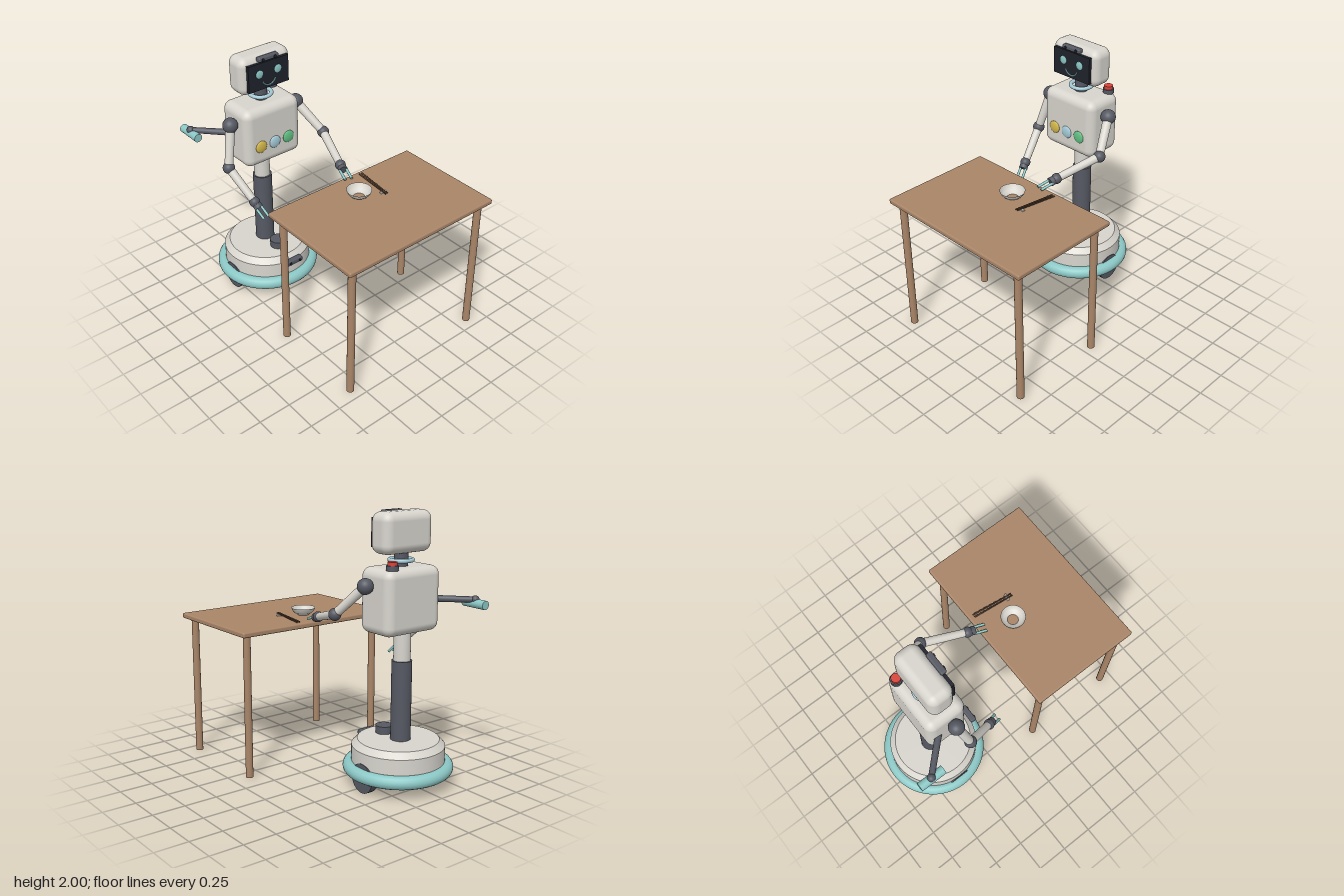
import * as THREE from 'three';
import { toCreasedNormals } from 'three/addons/utils/BufferGeometryUtils.js';
import { RoundedBoxGeometry } from 'three/addons/geometries/RoundedBoxGeometry.js';

const V = (x, y, z) => new THREE.Vector3(x, y, z);

function material(name, color, side = THREE.FrontSide) {
  const m = new THREE.MeshStandardMaterial({ color, side });
  m.name = name;
  return m;
}

export function createModel() {
  const shell = material('shell off-white', 0xd8d5ce, THREE.DoubleSide);
  const slate = material('slate grey', 0x565963);
  const teal = material('soft teal', 0x8cc8c6);
  const black = material('screen black', 0x20222c);
  const wood = material('table wood', 0xa98568);
  const darkWood = material('dark wood', 0x5c4433);
  const red = material('button red', 0xd8443a);
  const yellow = material('button yellow', 0xd4b84c);
  const blue = material('button blue', 0xa4cbd8);
  const green = material('button green', 0x62c083);

  const model = new THREE.Group();
  const group = (name) => {
    const g = new THREE.Group();
    g.name = name;
    model.add(g);
    return g;
  };
  const add = (parent, name, geo, mat, x = 0, y = 0, z = 0) => {
    const m = new THREE.Mesh(geo, mat);
    m.name = name;
    m.position.set(x, y, z);
    parent.add(m);
    return m;
  };
  const ball = (p, name, r, mat, c) => add(p, name, new THREE.SphereGeometry(r, 24, 16), mat, c.x, c.y, c.z);
  const box = (w, h, d, r) => new RoundedBoxGeometry(w, h, d, 5, r);
  // Straight tapered rod from a to b
  const rod = (p, name, a, b, ra, rb, mat) => {
    const m = add(p, name, new THREE.CylinderGeometry(rb, ra, a.distanceTo(b), 24), mat);
    m.position.copy(a).lerp(b, 0.5);
    m.quaternion.setFromUnitVectors(V(0, 1, 0), b.clone().sub(a).normalize());
    return m;
  };
  // Sensor bar with two lenses, facing +z
  const sensorBar = (p, name, w, h, d, x, y, z) => {
    add(p, name, box(w, h, d, 0.012), slate, x, y, z);
    for (const s of [-1, 1]) {
      const lens = add(p, 'lens', new THREE.CylinderGeometry(0.012, 0.012, 0.01, 20), black, x + s * w * 0.3, y, z + d / 2);
      lens.rotation.x = Math.PI / 2;
    }
  };

  const cx = -0.207, cz = -0.577;

  // Rolling base: chamfered drum, bumper ring, wheels, scanner
  const base = group('base');
  const drum = new THREE.LatheGeometry(
    [[0, 0.11], [0.343, 0.11], [0.343, 0.3], [0.3, 0.345], [0, 0.345]].map(([r, y]) => new THREE.Vector2(r, y)), 64);
  add(base, 'drum', toCreasedNormals(drum, 0.5), shell, cx, 0, cz);
  const bumper = add(base, 'bumper', new THREE.TorusGeometry(0.356, 0.05, 16, 72), teal, cx, 0.137, cz);
  bumper.rotation.x = Math.PI / 2;
  for (const s of [-1, 1]) {
    const wheel = add(base, 'wheel', new THREE.CylinderGeometry(0.11, 0.11, 0.056, 36), slate, cx + s * 0.318, 0.11, cz);
    wheel.rotation.z = Math.PI / 2;
  }
  add(base, 'scanner', new THREE.CylinderGeometry(0.065, 0.065, 0.06, 32), slate, cx, 0.372, -0.42);
  sensorBar(base, 'baseSensor', 0.148, 0.044, 0.05, cx, 0.299, -0.22);

  // Telescopic column
  const column = group('column');
  add(column, 'lowerColumn', new THREE.CylinderGeometry(0.074, 0.074, 0.6, 36), slate, cx, 0.637, -0.6);
  add(column, 'upperColumn', new THREE.CylinderGeometry(0.062, 0.062, 0.28, 36), shell, cx, 1.05, -0.6);

  // Torso with chest buttons and a stop button on the shoulder
  const torso = group('torso');
  add(torso, 'torsoShell', box(0.5, 0.47, 0.32, 0.065), shell, cx, 1.38, -0.571);
  [yellow, blue, green].forEach((mat, i) => {
    const b = ball(torso, 'chestButton', 0.049, mat, V(cx + (i - 1) * 0.125, 1.308, -0.411));
    b.scale.z = 0.32;
  });
  add(torso, 'stopButtonBase', new THREE.CylinderGeometry(0.043, 0.043, 0.035, 28), slate, -0.029, 1.628, -0.682);
  add(torso, 'stopButton', new THREE.CylinderGeometry(0.034, 0.034, 0.03, 28), red, -0.029, 1.656, -0.682);

  // Neck and head
  const head = group('head');
  add(head, 'neck', new THREE.CylinderGeometry(0.05, 0.05, 0.16, 32), slate, cx, 1.66, -0.571);
  const collar = add(head, 'collar', new THREE.TorusGeometry(0.081, 0.015, 12, 48), blue, cx, 1.656, -0.571);
  collar.rotation.x = Math.PI / 2;
  add(head, 'headShell', box(0.443, 0.293, 0.196, 0.065), shell, cx, 1.853, -0.573);
  add(head, 'screen', new THREE.BoxGeometry(0.354, 0.208, 0.03), black, cx, 1.85, -0.47);
  for (const s of [-1, 1]) {
    ball(head, 'eye', 0.032, teal, V(cx + s * 0.081, 1.87, -0.455)).scale.z = 0.25;
  }
  const arc = 2.5;
  const smile = add(head, 'smile', new THREE.TorusGeometry(0.06, 0.005, 8, 32, arc), teal, cx, 1.828, -0.454);
  smile.rotation.z = -Math.PI / 2 - arc / 2;
  sensorBar(head, 'headSensor', 0.174, 0.036, 0.045, cx, 1.981, -0.465);

  // Jointed arms with two-finger grippers
  const arm = (name, shoulder, elbow, wrist, tips) => {
    const g = group(name);
    ball(g, 'shoulder', 0.058, slate, shoulder);
    rod(g, 'upperArm', shoulder, elbow, 0.036, 0.032, shell);
    ball(g, 'elbow', 0.046, slate, elbow);
    rod(g, 'forearm', elbow, wrist, 0.033, 0.029, shell);
    ball(g, 'wrist', 0.04, slate, wrist);
    const mid = tips[0].clone().lerp(tips[1], 0.5);
    const dir = mid.clone().sub(wrist).normalize();
    const palm = wrist.clone().addScaledVector(dir, 0.055);
    rod(g, 'palm', wrist, palm, 0.032, 0.034, slate);
    for (const tip of tips) {
      const root = palm.clone().addScaledVector(dir, -0.01).add(tip).sub(mid);
      rod(g, 'finger', root, tip, 0.01, 0.01, teal);
    }
  };
  arm('leftArm', V(0.094, 1.495, -0.544), V(0.196, 1.278, -0.337), V(0.083, 1.187, 0.005),
    [V(0.02, 1.147, 0.135), V(0.069, 1.147, 0.15)]);
  arm('rightArm', V(-0.506, 1.495, -0.544), V(-0.581, 1.19, -0.484), V(-0.518, 0.975, -0.265),
    [V(-0.512, 0.872, -0.162), V(-0.464, 0.872, -0.168)]);

  // Rear arm holding a roller
  const rear = group('rearArm');
  const end = V(-0.65, 1.365, -0.872);
  rod(rear, 'rearRod', V(-0.42, 1.365, -0.63), end, 0.025, 0.022, slate);
  ball(rear, 'rearJoint', 0.03, slate, end);
  rod(rear, 'roller', V(-0.65, 1.338, -0.972), V(-0.65, 1.338, -0.77), 0.033, 0.033, teal);

  // Table
  const table = group('table');
  add(table, 'tableTop', box(1.333, 0.04, 0.885, 0.012), wood, 0.015, 1.11, 0.536);
  for (const x of [-0.578, 0.607]) for (const z of [0.17, 0.912]) {
    add(table, 'tableLeg', new THREE.CylinderGeometry(0.028, 0.028, 1.095, 24), wood, x, 0.5475, z);
  }

  // Open bowl, chopsticks and their rest
  const tableware = group('tableware');
  const bowl = [[0.041, 0], [0.046, 0.008], [0.068, 0.018], [0.083, 0.034], [0.093, 0.058]];
  add(tableware, 'bowl', new THREE.LatheGeometry(bowl.map(([r, y]) => new THREE.Vector2(r, y)), 48), shell, -0.028, 1.131, 0.345);
  for (const s of [-1, 1]) {
    rod(tableware, 'chopstick', V(0.173 + s * 0.011, 1.137, 0.133), V(0.132 + s * 0.008, 1.147, 0.46), 0.006, 0.005, darkWood);
  }
  add(tableware, 'chopstickRest', box(0.056, 0.012, 0.02, 0.004), shell, 0.139, 1.136, 0.42).rotation.y = -0.12;

  return model;
}
